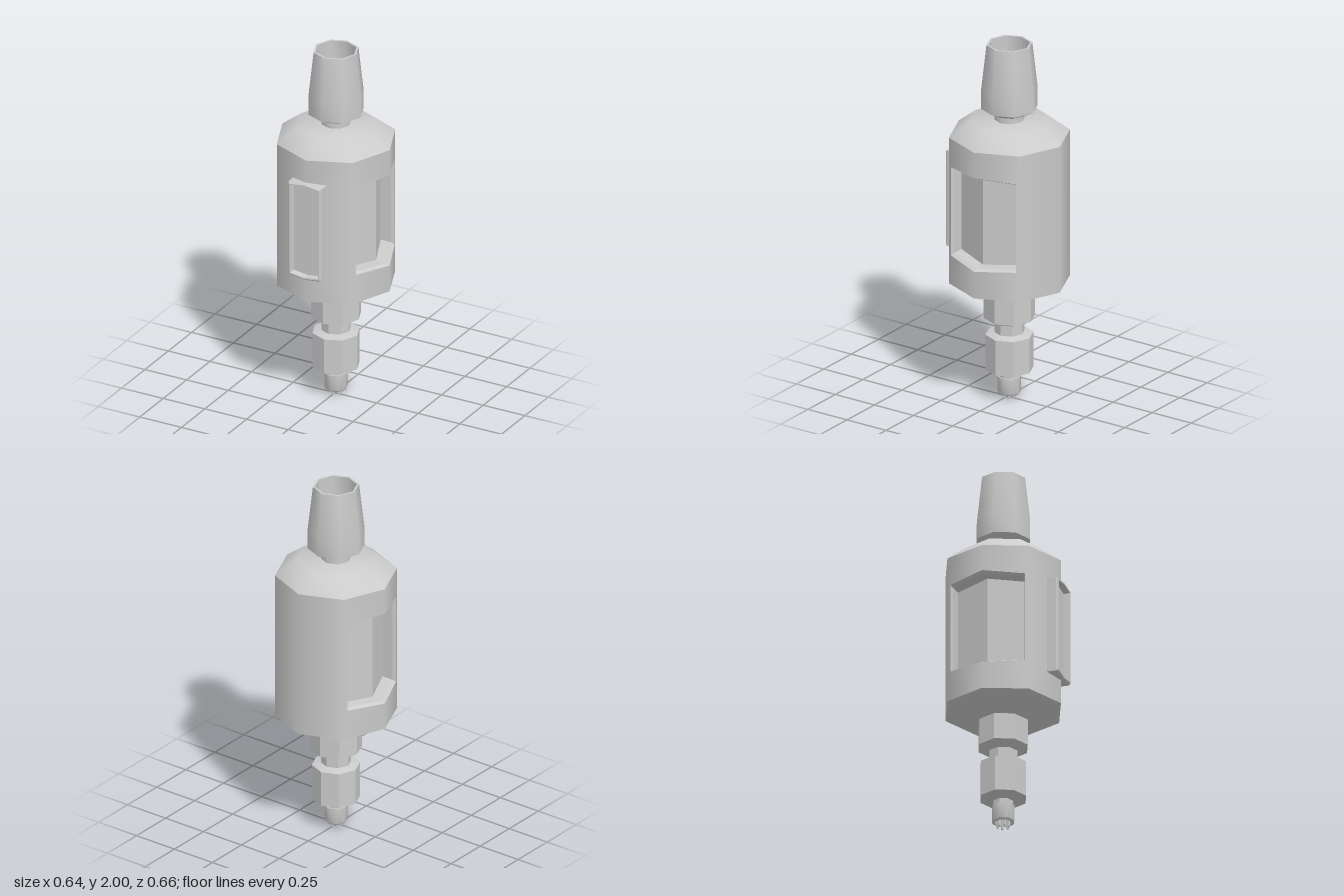
import * as THREE from 'three';
import { toCreasedNormals } from 'three/addons/utils/BufferGeometryUtils.js';

const R = 0.322;                       // body radius (octagon, corners on the axes)
const K = Math.tan(Math.PI / 8);       // how fast a facet falls away from its corner
const WALL = [0.665, 1.49];            // straight part of the body wall
const MID = 1.08;                      // centre height of windows and front panel

const mat = new THREE.MeshStandardMaterial({ color: 0xcccccc });
const thin = new THREE.MeshStandardMaterial({ color: 0xcccccc, side: THREE.DoubleSide });

function add(parent, name, geometry, material = mat) {
  const mesh = new THREE.Mesh(geometry, material);
  mesh.name = name;
  parent.add(mesh);
  return mesh;
}

// Eight-sided turned part from [radius, height] pairs; crease in degrees
function turned(profile, crease) {
  const pts = profile.map(([r, y]) => new THREE.Vector2(r, y));
  return toCreasedNormals(new THREE.LatheGeometry(pts, 8), THREE.MathUtils.degToRad(crease));
}

// Six-point loop with pointed top and bottom; depth(t) gives z at sideways offset t
function loop(w, edge, peak, depth) {
  return [[0, -peak], [w, -edge], [w, edge], [0, peak], [-w, edge], [-w, -edge]]
    .map(([t, y]) => new THREE.Vector3(t, MID + y, depth(Math.abs(t))));
}

// Joins successive loops with walls and closes the last one with a two-part floor
function loft(loops) {
  const tri = [];
  const quad = (a, b, c, d) => tri.push(a, b, c, a, c, d);
  for (let l = 0; l < loops.length - 1; l++) {
    const a = loops[l], b = loops[l + 1];
    for (let i = 0; i < 6; i++) {
      const j = (i + 1) % 6;
      quad(a[i], a[j], b[j], b[i]);
    }
  }
  const f = loops[loops.length - 1];
  quad(f[0], f[1], f[2], f[3]);
  quad(f[0], f[3], f[4], f[5]);
  const g = new THREE.BufferGeometry().setFromPoints(tri);
  g.computeVertexNormals();
  return g;
}

// Half of a body quarter: one facet, optionally notched at the corner
function facet(side, notch) {
  const end = R * Math.SQRT1_2;
  const pts = [[0, WALL[0]], [end, WALL[0]], [end, WALL[1]], [0, WALL[1]]];
  if (notch) {
    const [w, edge, peak] = notch;
    pts.push([0, MID + peak], [w, MID + edge], [w, MID - edge], [0, MID - peak]);
  }
  const g = new THREE.ShapeGeometry(new THREE.Shape(pts.map(([t, y]) => new THREE.Vector2(side * t, y))));
  const p = g.attributes.position, n = g.attributes.normal, v = new THREE.Vector3();
  for (let i = 0; i < p.count; i++) {
    p.setZ(i, R - Math.abs(p.getX(i)) * K);
    v.set(p.getX(i), 0, p.getZ(i)).normalize();
    n.setXYZ(i, v.x, v.y, v.z);
  }
  return g;
}

export function createModel() {
  const model = new THREE.Group();
  model.name = 'device';
  const core = new THREE.Group();
  core.name = 'core';
  core.position.z = -0.012;
  model.add(core);

  // Body wall in quarters: front panel opening, side windows, plain back
  const windowRim = [0.208, 0.25, 0.265];
  const panelRim = [0.09, 0.258, 0.268];
  const quarters = [['front', panelRim], ['left', windowRim], ['back', null], ['right', windowRim]];
  quarters.forEach(([name, notch], i) => {
    const quarter = new THREE.Group();
    quarter.name = name + 'Quarter';
    quarter.rotation.y = i * Math.PI / 2;
    core.add(quarter);
    for (const side of [1, -1]) add(quarter, name + 'Wall', facet(side, notch));

    // Sunken side window with a small bevel and a floor parallel to the wall
    if (notch === windowRim) {
      add(quarter, name + 'Window', loft([
        loop(...windowRim, t => R - t * K),
        loop(0.2, 0.24, 0.255, t => R - 0.02 - t * K),
        loop(0.194, 0.236, 0.251, t => 0.24 - t * K),
      ]), thin);
    }

    // Raised front frame around a sunken panel
    if (notch === panelRim) {
      add(quarter, 'frontFrame', loft([
        loop(0.1, 0.27, 0.282, () => 0.27),
        loop(0.1, 0.27, 0.282, () => 0.332),
        loop(0.09, 0.262, 0.274, () => 0.342),
        loop(0.084, 0.256, 0.267, () => 0.342),
        loop(0.08, 0.252, 0.263, () => 0.308),
      ]), thin);
    }
  });

  // Body ends
  add(core, 'bodyTop', turned([[R, WALL[1]], [0.212, 1.575], [0, 1.575]], 47));
  add(core, 'bodyBottom', turned([[0, 0.6], [0.137, 0.6], [R, WALL[0]]], 47));

  // Hollow tapered cup on its neck
  add(core, 'topCup', turned([
    [0.08, 1.57], [0.08, 1.605], [0.15, 1.64], [0.15, 1.75], [0.122, 2],
    [0.11, 2], [0.11, 1.75], [0, 1.75],
  ], 47), thin);

  // Stepped collars below the body
  add(core, 'lowerCollars', turned([
    [0.055, 0.115], [0.055, 0.145], [0.128, 0.162], [0.128, 0.36], [0.08, 0.372],
    [0.08, 0.43], [0.137, 0.455], [0.137, 0.602],
  ], 20));

  // Hollow plug at the tip
  add(core, 'plug', turned([
    [0, 0.09], [0.046, 0.09], [0.046, 0.025], [0.056, 0.025], [0.062, 0.032], [0.062, 0.12], [0, 0.12],
  ], 47), thin);

  // Contact pins in a ring
  for (let i = 0; i < 6; i++) {
    const a = i / 6 * Math.PI * 2;
    const pin = add(core, 'pin', new THREE.CylinderGeometry(0.007, 0.007, 0.095, 6));
    pin.position.set(Math.sin(a) * 0.03, 0.0475, Math.cos(a) * 0.03);
  }
  return model;
}
